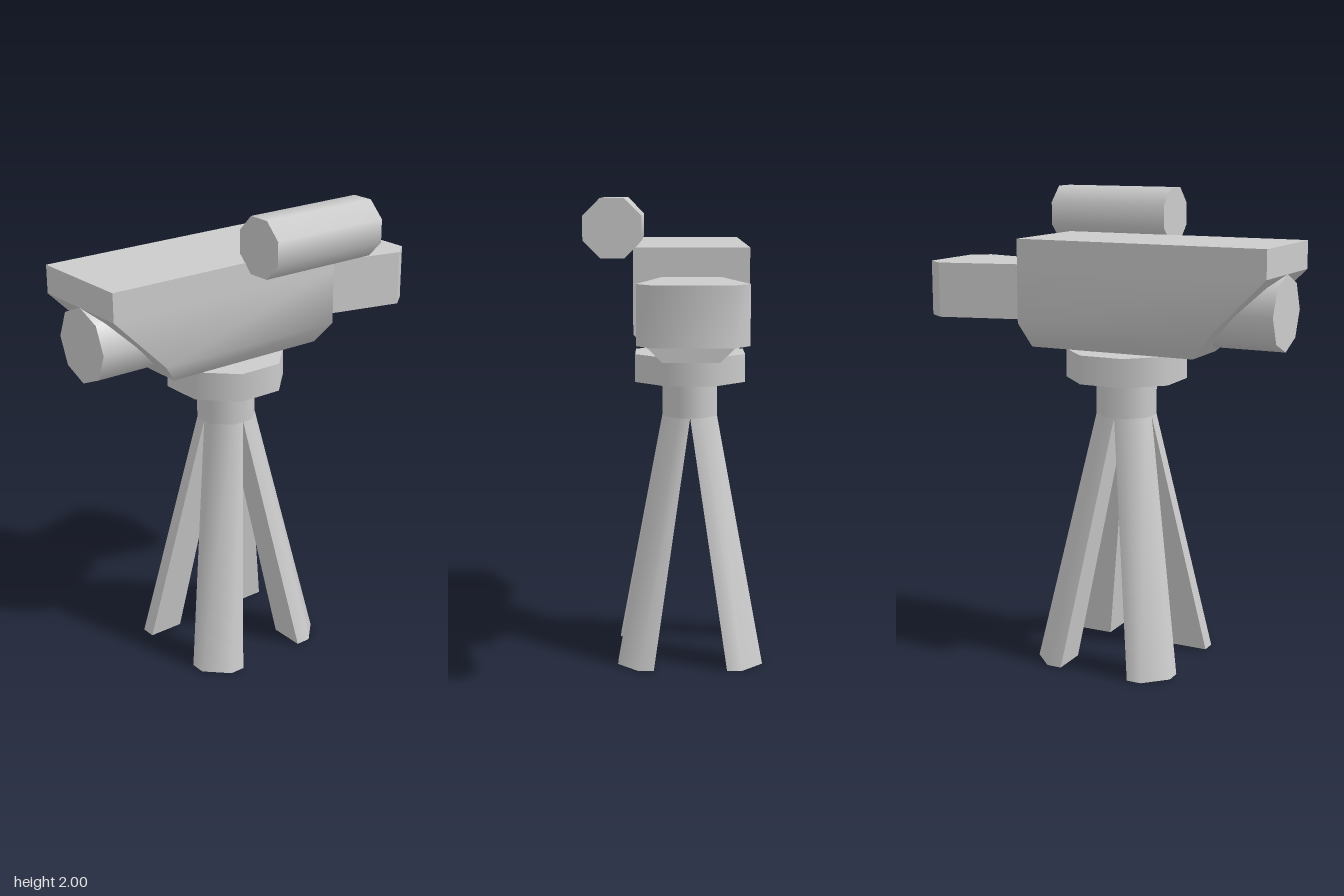
import * as THREE from 'three';
import { toCreasedNormals, mergeGeometries } from 'three/addons/utils/BufferGeometryUtils.js';

const material = new THREE.MeshStandardMaterial({ color: 0xcccccc });
const CX = -0.06, CZ = 0.08; // axis of the stand
const CREASE = THREE.MathUtils.degToRad(52);

function triangles(points) {
  const g = new THREE.BufferGeometry();
  g.setAttribute('position', new THREE.Float32BufferAttribute(points.flat(), 3));
  return g;
}

// Solid through convex rings, listed bottom to top; each ring runs
// counterclockwise seen from above as [x, z] pairs. Caps stay flat.
function loft(levels, capBottom = true, capTop = true) {
  const rings = levels.map(([y, ring]) => ring.map(([x, z]) => [x, y, z]));
  const n = rings[0].length, sides = [], caps = [];
  for (let k = 0; k < rings.length - 1; k++) {
    for (let i = 0; i < n; i++) {
      const j = (i + 1) % n;
      const a = rings[k][i], b = rings[k][j], c = rings[k + 1][j], d = rings[k + 1][i];
      sides.push(a, b, c, a, c, d);
    }
  }
  const low = rings[0], high = rings[rings.length - 1];
  for (let i = 1; i < n - 1; i++) {
    if (capBottom) caps.push(low[0], low[i + 1], low[i]);
    if (capTop) caps.push(high[0], high[i], high[i + 1]);
  }
  const capGeometry = triangles(caps);
  capGeometry.computeVertexNormals();
  return mergeGeometries([toCreasedNormals(triangles(sides), CREASE), capGeometry]);
}

// Rectangle about the centre line, with its front and back z
const rect = (half, front, back = -0.31) => [
  [CX + half, front], [CX + half, back], [CX - half, back], [CX - half, front],
];

// Eight-sided cylinder; flats face the axes unless pointed
function octagon(radius, length, pointed = false) {
  return pointed
    ? new THREE.CylinderGeometry(radius, radius, length, 8)
    : new THREE.CylinderGeometry(radius / Math.cos(Math.PI / 8), radius / Math.cos(Math.PI / 8),
        length, 8, 1, false, Math.PI / 8);
}

export function createModel() {
  const model = new THREE.Group();
  model.name = 'tripodDevice';
  const add = (name, geometry, x = 0, y = 0, z = 0) => {
    const mesh = new THREE.Mesh(geometry, material);
    mesh.name = name;
    mesh.position.set(x, y, z);
    model.add(mesh);
    return mesh;
  };

  // Four splayed legs, each a quarter of an octagon
  const quarter = (offset, a, sx, sz) => {
    const t = a * Math.tan(Math.PI / 8);
    const ring = [[0, 0], [0, a], [t, a], [a, t], [a, 0]]
      .map(([x, z]) => [CX + sx * (offset + x), CZ + sz * (offset + z)]);
    return sx * sz < 0 ? ring.reverse() : ring;
  };
  for (const sx of [-1, 1]) {
    for (const sz of [-1, 1]) {
      add('leg', loft([[0, quarter(0.157, 0.156, sx, sz)], [1.065, quarter(0, 0.118, sx, sz)]]));
    }
  }

  // Post and mounting plate
  add('post', octagon(0.118, 0.155), CX, 1.1425, CZ);
  add('mountPlate', octagon(0.235, 0.12), CX, 1.28, CZ);

  // Body: chamfered below, with a front that slopes back under a hood
  add('body', mergeGeometries([
    loft([[1.34, rect(0.118, 0.434)], [1.455, rect(0.235, 0.551)], [1.688, rect(0.235, 0.785)]], true, false),
    loft([[1.688, rect(0.235, 0.785)], [1.805, rect(0.235, 0.785)]], false, true),
  ]));

  // Lens barrel under the hood
  add('lens', octagon(0.156, 0.4, true), CX, 1.533, 0.585).rotation.x = Math.PI / 2;

  // Sight tube beside the top edge
  add('sightTube', octagon(0.117, 0.543), 0.255, 1.883, -0.114).rotation.x = Math.PI / 2;

  // Rear housing, widening towards the back
  const rear = [
    [CX + 0.117, -0.31], [CX + 0.215, -0.71], [CX + 0.155, -0.785],
    [CX - 0.155, -0.785], [CX - 0.215, -0.71], [CX - 0.117, -0.31],
  ];
  add('rearHousing', loft([[1.455, rear], [1.688, rear]]));

  return model;
}
